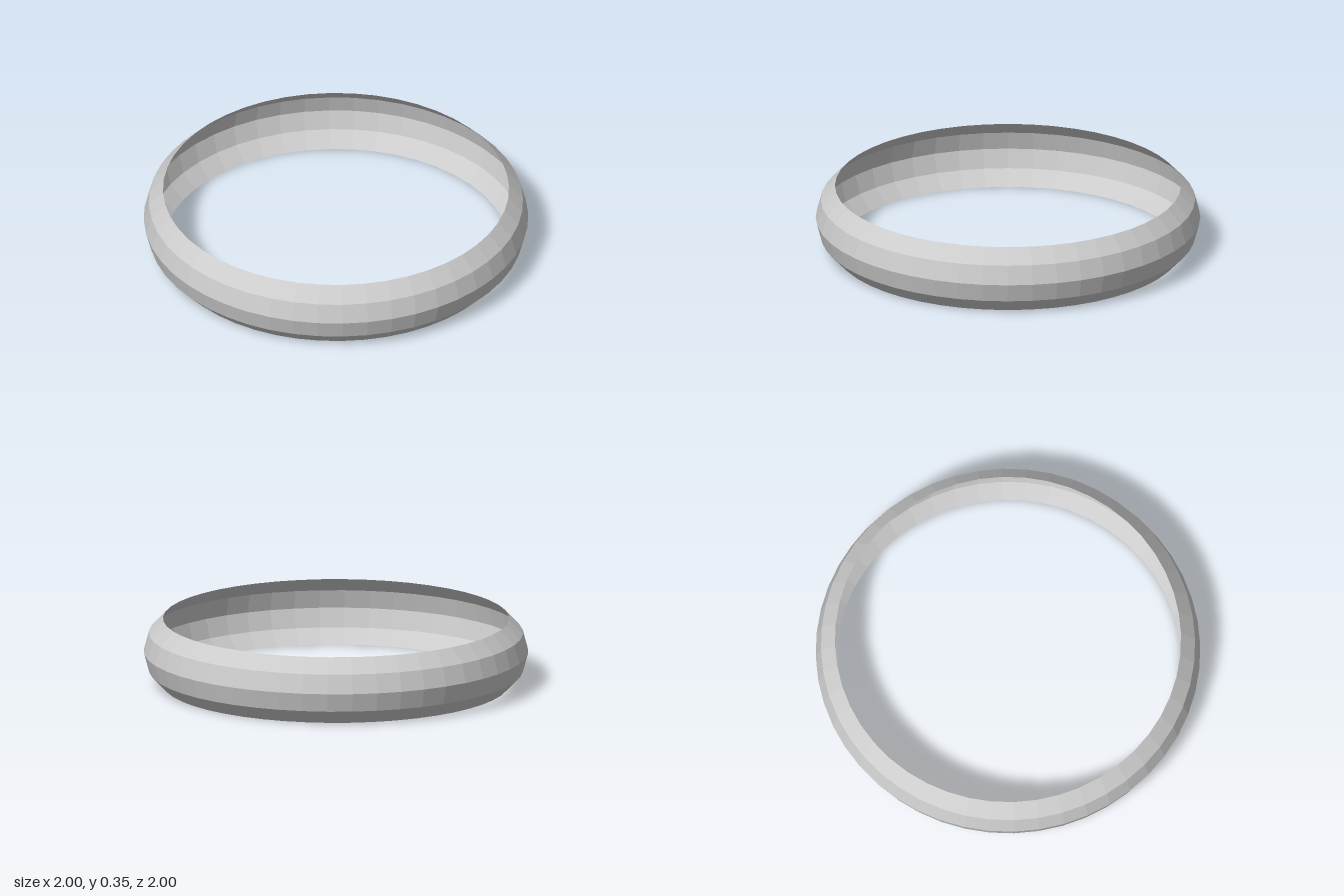
import * as THREE from 'three';

export function createModel() {
  const group = new THREE.Group();
  group.name = 'ring';

  // Bulged band: an open, thin shell with a five-point curved section
  const profile = [
    [0.9, 0], [0.973, 0.076], [1, 0.175], [0.973, 0.274], [0.9, 0.35],
  ].map(([r, y]) => new THREE.Vector2(r, y));

  const material = new THREE.MeshStandardMaterial({
    color: 0xcccccc,
    flatShading: true,
    side: THREE.DoubleSide,
  });
  const band = new THREE.Mesh(new THREE.LatheGeometry(profile, 48), material);
  band.name = 'band';
  group.add(band);

  return group;
}
